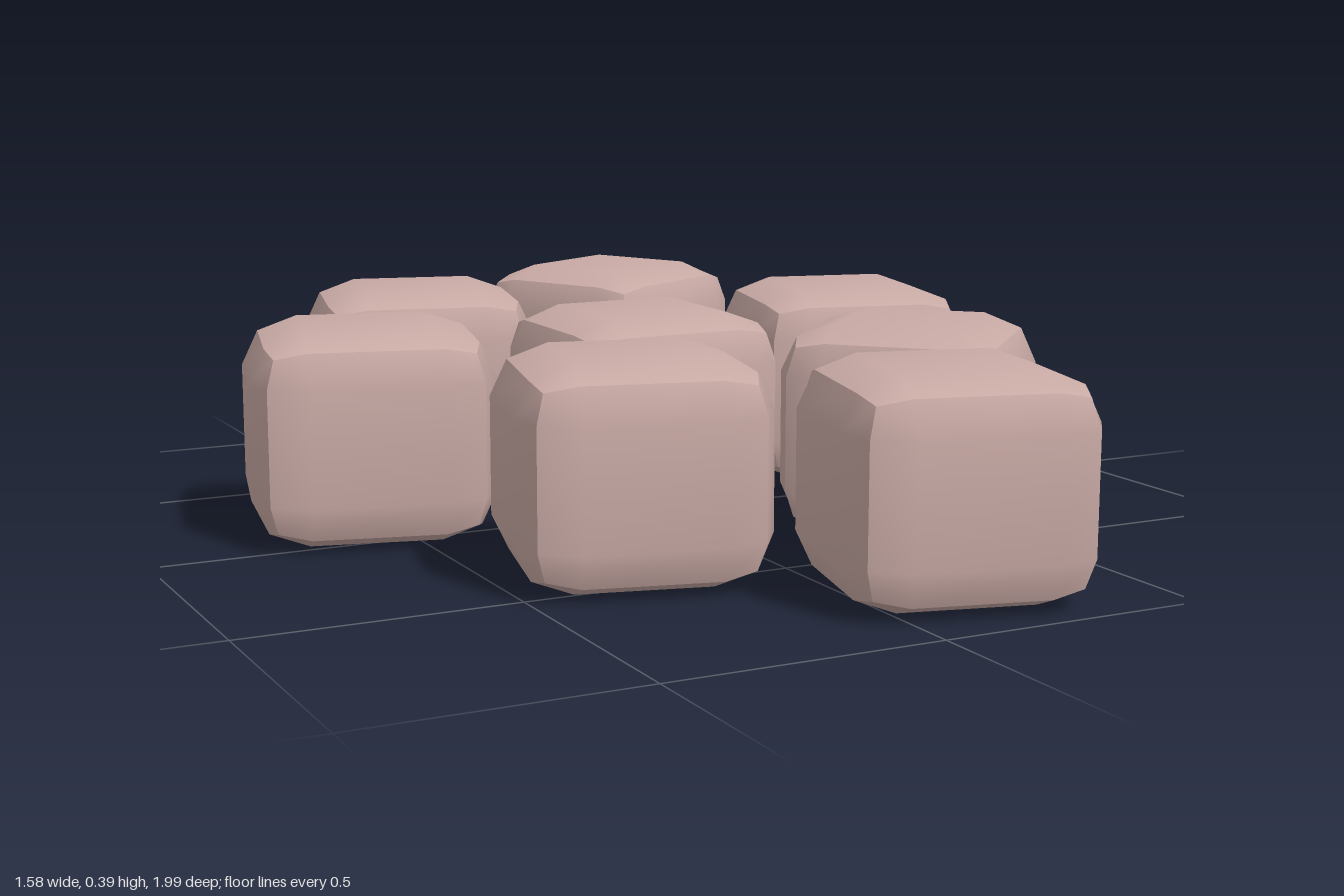
import * as THREE from 'three';

// Cube with rounded corners: each side is a 3x3 grid whose outer ring curves back,
// normals stay smooth within a side and sharp along the cube's edges.
function stoneGeometry(width, height, depth, radius) {
  const geo = new THREE.BoxGeometry(1, 1, 1, 3, 3, 3);
  const pos = geo.attributes.position;
  const p = new THREE.Vector3(), core = new THREE.Vector3();
  const inner = 0.5 - radius;
  for (let i = 0; i < pos.count; i++) {
    p.fromBufferAttribute(pos, i);
    core.set(Math.sign(p.x), Math.sign(p.y), Math.sign(p.z)).multiplyScalar(inner);
    // direction is 1 on the axes where the vertex lies on the outside, else 0
    p.set(...p.toArray().map((v) => (Math.abs(v) > 0.4 ? Math.sign(v) : 0)));
    p.normalize().multiplyScalar(radius).add(core);
    pos.setXYZ(i, p.x, p.y, p.z);
  }
  geo.scale(width, height, depth);
  geo.computeVertexNormals();
  return geo;
}

export function createModel() {
  const group = new THREE.Group();
  group.name = 'stones';
  const height = 0.393;
  const geo = stoneGeometry(0.45, height, 0.435, 0.23);
  const material = new THREE.MeshStandardMaterial({ color: 0xc9aaa5 });

  // x, z, turn in degrees
  const stones = [
    [-0.27, -0.585, -14],
    [0.25, -0.745, 28],
    [0.54, -0.22, -14],
    [-0.55, -0.11, -14],
    [-0.01, -0.055, 0],
    [0.38, 0.3, 45],
    [-0.26, 0.41, -14],
    [0.16, 0.75, -14],
  ];
  stones.forEach(([x, z, turn], i) => {
    const stone = new THREE.Mesh(geo, material);
    stone.name = `stone${i + 1}`;
    stone.position.set(x, height / 2, z);
    stone.rotation.y = THREE.MathUtils.degToRad(turn);
    group.add(stone);
  });
  return group;
}
